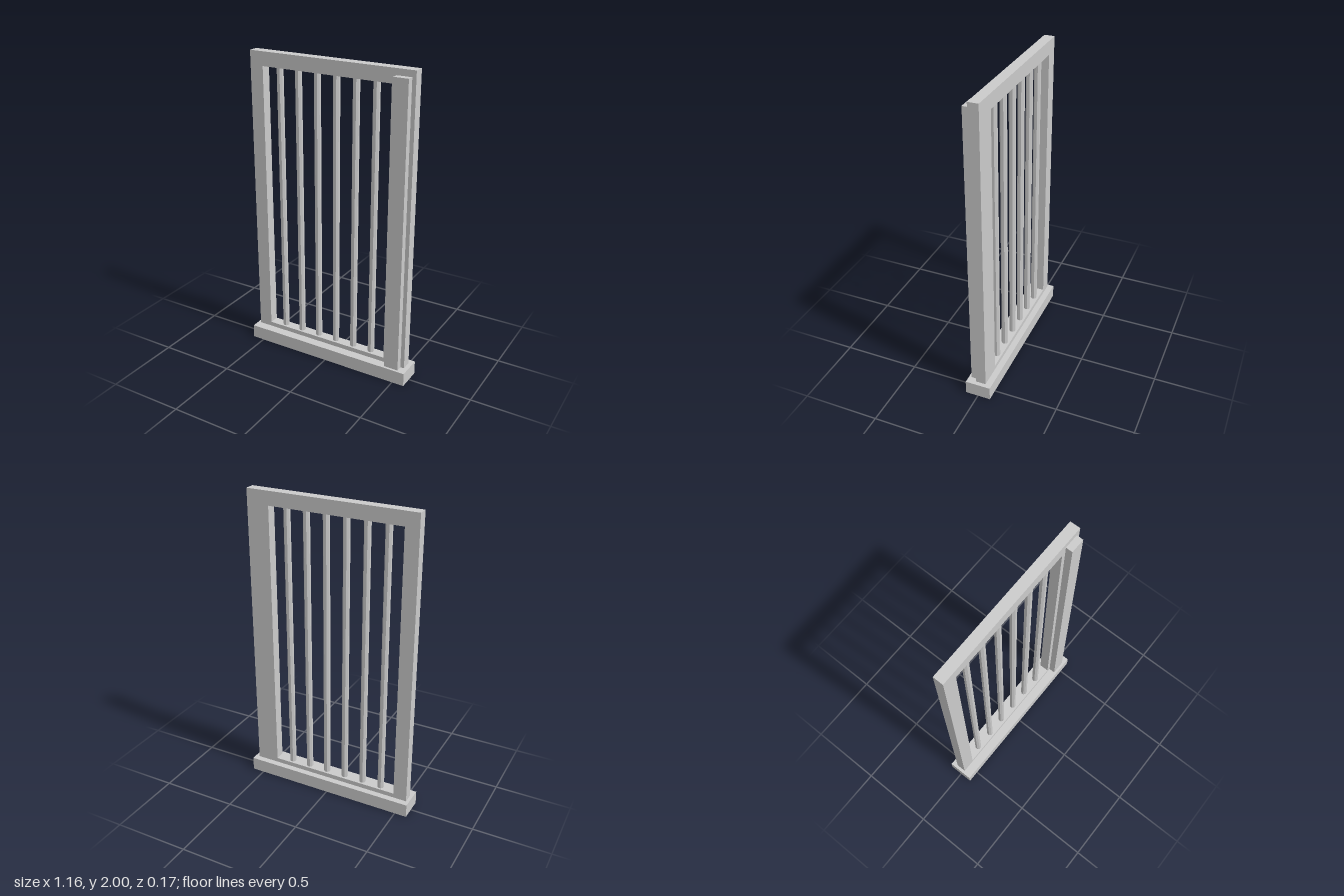
import * as THREE from 'three';

const material = new THREE.MeshStandardMaterial({ color: 0xcccccc, flatShading: true });

// Box given by its minimum and maximum corners
function box(name, [x0, y0, z0], [x1, y1, z1]) {
  const mesh = new THREE.Mesh(new THREE.BoxGeometry(x1 - x0, y1 - y0, z1 - z0), material);
  mesh.position.set((x0 + x1) / 2, (y0 + y1) / 2, (z0 + z1) / 2);
  mesh.name = name;
  return mesh;
}

export function createModel() {
  const model = new THREE.Group();
  model.name = 'barredWindow';

  // Wide sill the frame stands on
  model.add(box('sill', [-0.58, 0, -0.083], [0.58, 0.09, 0.083]));

  // Frame: one slab with a rectangular opening
  const outline = new THREE.Shape([
    [-0.56, 0.09], [0.553, 0.09], [0.553, 2], [-0.56, 2],
  ].map(([x, y]) => new THREE.Vector2(x, y)));
  outline.holes.push(new THREE.Path([
    [-0.47, 0.12], [-0.47, 1.91], [0.405, 1.91], [0.405, 0.12],
  ].map(([x, y]) => new THREE.Vector2(x, y))));
  const frame = new THREE.Mesh(
    new THREE.ExtrudeGeometry(outline, { depth: 0.066, bevelEnabled: false }), material);
  frame.position.z = -0.043;
  frame.name = 'frame';
  model.add(frame);

  // Raised strip on the front of one jamb
  model.add(box('jambStrip', [0.433, 0.09, 0.023], [0.528, 1.96, 0.066]));

  // Evenly spaced upright bars, flat side to the front
  const bars = new THREE.Group();
  bars.name = 'bars';
  const barGeometry = new THREE.CylinderGeometry(0.0215, 0.0215, 1.79, 8, 1, true);
  barGeometry.rotateY(Math.PI / 8);
  for (let i = 0; i < 6; i++) {
    const bar = new THREE.Mesh(barGeometry, material);
    bar.position.set(-0.365 + i * 0.1323, 1.015, -0.01);
    bar.name = 'bar';
    bars.add(bar);
  }
  model.add(bars);

  return model;
}
